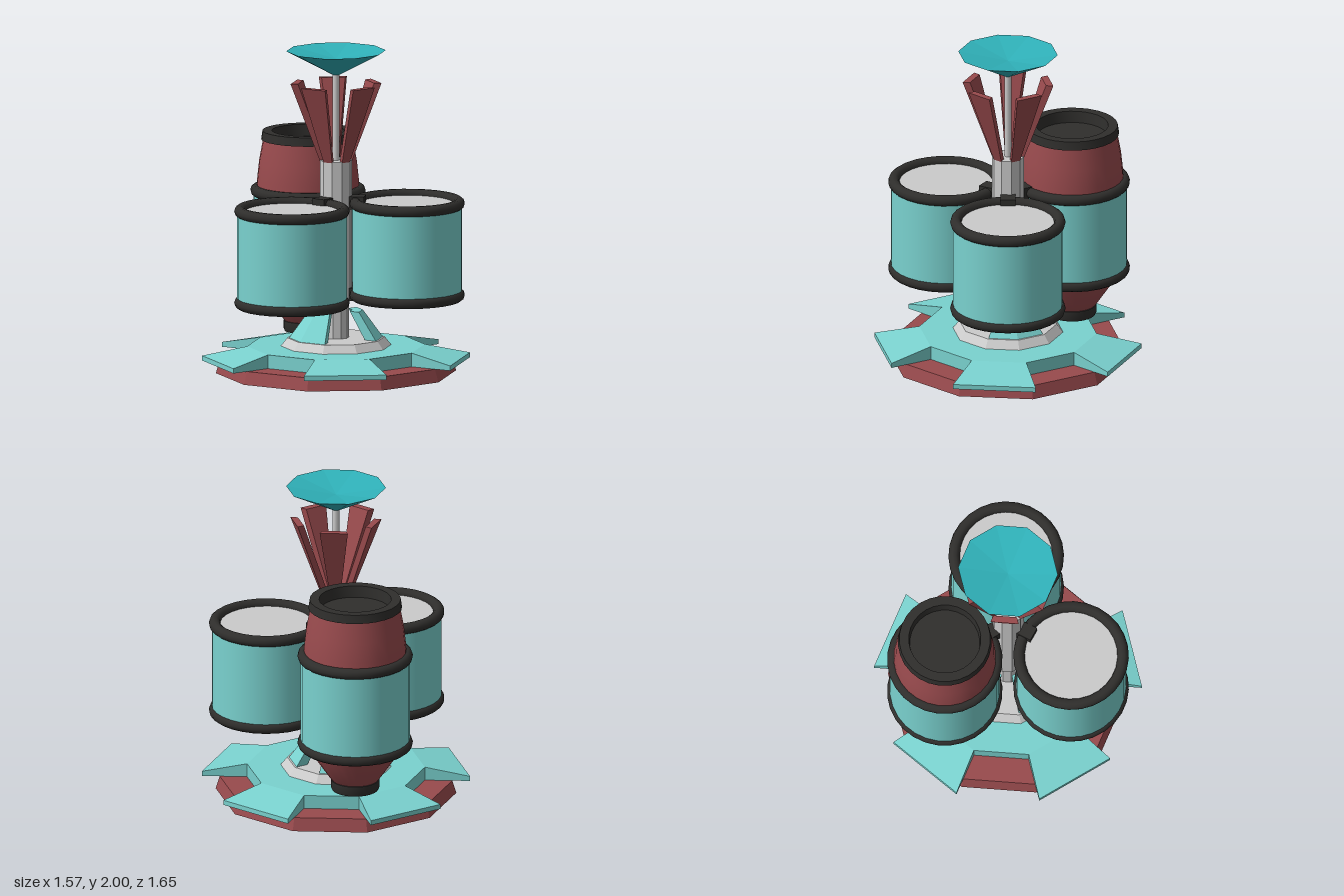
import * as THREE from 'three';
import { toCreasedNormals } from 'three/addons/utils/BufferGeometryUtils.js';

const paint = (color, flat = false) => new THREE.MeshStandardMaterial({ color, flatShading: flat });
const STEP = Math.PI / 5; // one side of the ten-sided plan

// Solid swept round the y axis over whole decagon sides; profile is a convex
// counter-clockwise loop of [radius, height], angles count in sides from +z.
function sector(profile, start, count) {
  const pos = [];
  const at = ([r, y], k) => [r * Math.sin(k * STEP), y, r * Math.cos(k * STEP)];
  const tri = (a, b, c) => pos.push(...a, ...b, ...c);
  const n = profile.length, end = start + count;
  for (let k = start; k < end; k++) {
    for (let i = 0; i < n; i++) {
      const p = profile[i], q = profile[(i + 1) % n];
      tri(at(p, k), at(p, k + 1), at(q, k + 1));
      tri(at(p, k), at(q, k + 1), at(q, k));
    }
  }
  if (count < 10) {
    for (let i = 1; i < n - 1; i++) {
      tri(at(profile[0], start), at(profile[i], start), at(profile[i + 1], start));
      tri(at(profile[0], end), at(profile[i + 1], end), at(profile[i], end));
    }
  }
  const g = new THREE.BufferGeometry();
  g.setAttribute('position', new THREE.Float32BufferAttribute(pos, 3));
  g.computeVertexNormals();
  return g;
}

function lathe(points, segments = 28) {
  const g = new THREE.LatheGeometry(points.map(([x, y]) => new THREE.Vector2(x, y)), segments);
  return toCreasedNormals(g, 0.6);
}

export function createModel() {
  const root = new THREE.Group();
  const teal = paint(0x7ad2cf), tealFlat = paint(0x7ad2cf, true);
  const red = paint(0x984a4d), redFlat = paint(0x984a4d, true);
  const dark = paint(0x2f2e2c);
  const grey = paint(0xcccccc), greyFlat = paint(0xcccccc, true);
  const dishMat = paint(0x30b2ba, true);

  const add = (parent, name, geometry, material, x = 0, y = 0, z = 0) => {
    const m = new THREE.Mesh(geometry, material);
    m.name = name;
    m.position.set(x, y, z);
    parent.add(m);
    return m;
  };

  // Base slab, raised plate and its five outward blades
  add(root, 'base', new THREE.CylinderGeometry(0.715, 0.74, 0.08, 10), redFlat, 0, 0.04, 0);
  add(root, 'basePlate', sector([[0.28, 0.08], [0.547, 0.08], [0.547, 0.165], [0.28, 0.165]], 0, 10), tealFlat);
  for (let i = 0; i < 5; i++) {
    add(root, 'baseBlade', sector([[0.547, 0.08], [0.825, 0.08], [0.825, 0.11], [0.547, 0.165]], 2 * i - 1, 1), tealFlat);
  }

  // Foot of the column with three sloping fins
  add(root, 'columnFoot', new THREE.CylinderGeometry(0.3, 0.36, 0.075, 10), greyFlat, 0, 0.178, 0);
  for (const start of [1, 4, 7]) {
    add(root, 'footFin', sector([[0.24, 0.165], [0.325, 0.165], [0.165, 0.385], [0.1, 0.385]], start, 2), tealFlat);
  }

  // Column, upper collar and thin mast
  add(root, 'column', new THREE.CylinderGeometry(0.08, 0.08, 1.0, 10), greyFlat, 0, 0.66, 0);
  add(root, 'collar', new THREE.CylinderGeometry(0.1, 0.1, 0.87, 10), greyFlat, 0, 0.885, 0);
  add(root, 'mast', new THREE.CylinderGeometry(0.022, 0.022, 0.57, 10), grey, 0, 1.59, 0);

  // Crown of five flaring slats
  for (let i = 0; i < 5; i++) {
    add(root, 'crownSlat', sector([[0.06, 1.315], [0.1, 1.315], [0.28, 1.795], [0.235, 1.795]], 2 * i, 1), redFlat);
  }

  // Shallow dish on the mast
  const dish = new THREE.LatheGeometry(
    [[0, 1.84], [0.307, 2], [0, 1.95]].map(([x, y]) => new THREE.Vector2(x, y)), 10);
  add(root, 'dish', dish, dishMat);

  // Three drums spaced evenly round the column
  for (let i = 0; i < 3; i++) {
    const angle = Math.PI / 3 * (2 * i + 1);
    const isBack = i === 1;
    const drum = new THREE.Group();
    drum.name = isBack ? 'tallDrum' : 'drum';
    drum.rotation.y = angle;
    root.add(drum);

    const dist = isBack ? 0.455 : 0.441;
    add(drum, 'drumShell', new THREE.CylinderGeometry(0.337, 0.337, 0.57, 28, 1, true), teal, 0, 0.775, dist);
    add(drum, 'drumHead', new THREE.CircleGeometry(0.335, 28), grey, 0, 1.06, dist).rotation.x = -Math.PI / 2;
    add(drum, 'drumBottom', new THREE.CircleGeometry(0.335, 28), dark, 0, 0.49, dist).rotation.x = Math.PI / 2;
    for (const y of [0.49, 1.06]) {
      add(drum, 'rim', new THREE.TorusGeometry(0.32, 0.035, 10, 28), dark, 0, y, dist).rotation.x = Math.PI / 2;
      add(drum, 'clamp', new THREE.BoxGeometry(0.09, 0.08, 0.11), dark, 0, y, 0.125);
    }

    // Upper barrel with recessed cap, and tapered funnel below
    if (isBack) {
      add(drum, 'barrel', lathe([[0.316, 1.05], [0.313, 1.13], [0.3, 1.25], [0.274, 1.39]]), red, 0, 0, dist);
      add(drum, 'barrelCap', lathe([[0.26, 1.378], [0.288, 1.378], [0.28, 1.432], [0.222, 1.432],
        [0.215, 1.36], [0, 1.36]]), dark, 0, 0, dist);
      add(drum, 'funnel', lathe([[0.14, 0.245], [0.16, 0.27], [0.29, 0.46], [0.3, 0.5]]), red, 0, 0, dist);
      add(drum, 'funnelRing', lathe([[0, 0.185], [0.143, 0.185], [0.15, 0.2], [0.15, 0.25], [0.13, 0.255]]), dark, 0, 0, dist);
      add(drum, 'funnelPin', new THREE.CylinderGeometry(0.065, 0.065, 0.05, 16), red, 0, 0.172, dist);
    }
  }
  return root;
}
